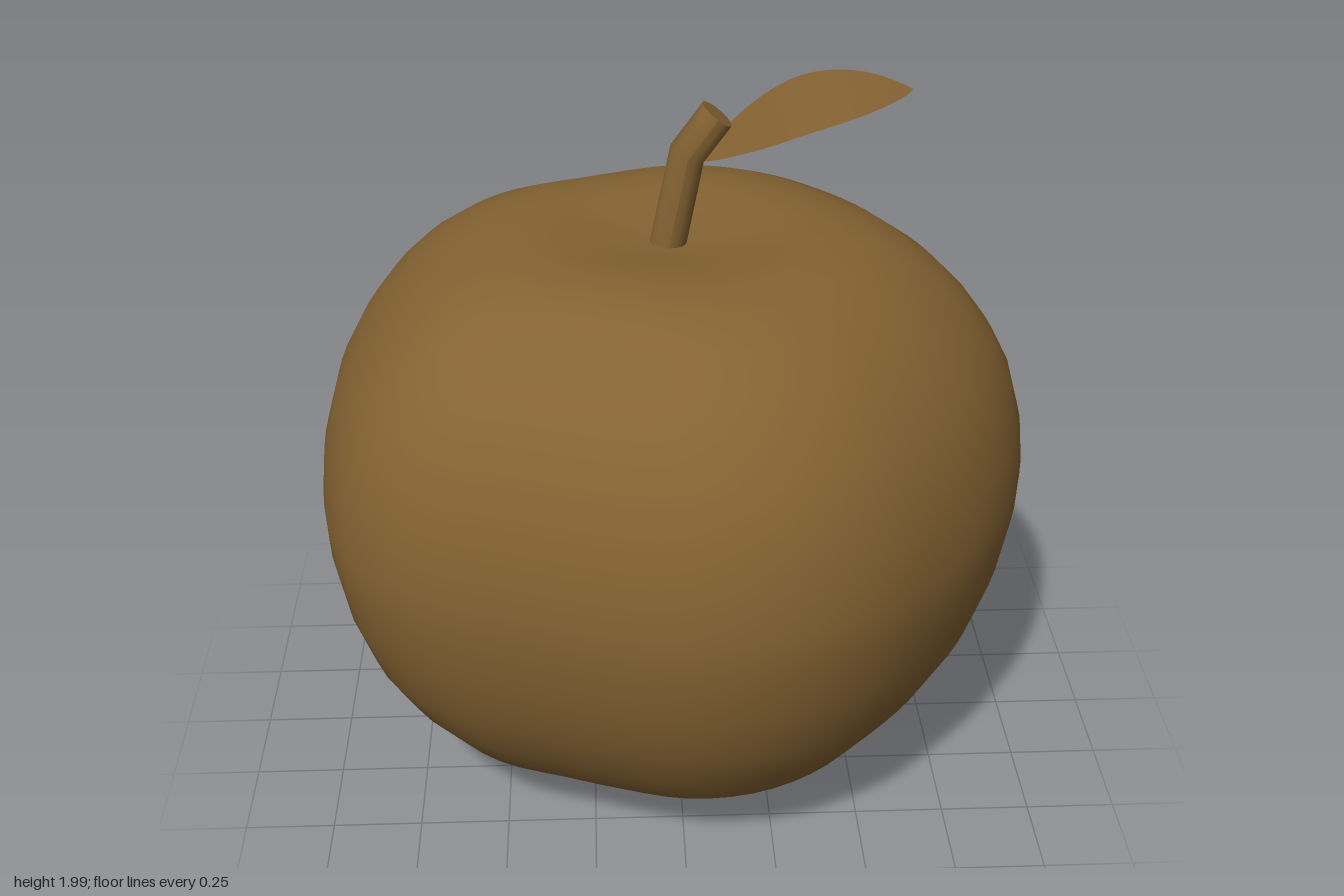
import * as THREE from 'three';
import { mergeVertices } from 'three/addons/utils/BufferGeometryUtils.js';

const brown = new THREE.MeshStandardMaterial({ color: 0x846232 });
brown.name = 'brown';
const brownLeaf = new THREE.MeshStandardMaterial({ color: 0x846232, side: THREE.DoubleSide });
brownLeaf.name = 'brown leaf';

// Smoothly shaded copy with welded seams
function smooth(geometry) {
  geometry.deleteAttribute('uv');
  geometry.deleteAttribute('normal');
  const welded = mergeVertices(geometry, 1e-4);
  welded.computeVertexNormals();
  return welded;
}

// Fruit: a lathe whose radius swells into five soft lobes
function makeFruit() {
  const profile = [
    [0, 0.015], [0.1, 0.006], [0.2, 0.004], [0.32, 0.025], [0.47, 0.07], [0.61, 0.14],
    [0.73, 0.235], [0.83, 0.36], [0.91, 0.5], [0.965, 0.66], [0.995, 0.82], [1, 0.93],
    [0.985, 1.07], [0.945, 1.21], [0.89, 1.315], [0.82, 1.41], [0.74, 1.49], [0.64, 1.56],
    [0.53, 1.605], [0.41, 1.625], [0.3, 1.62], [0.2, 1.607], [0.1, 1.594], [0, 1.585],
  ].map(([r, y]) => new THREE.Vector2(r, y));
  const geometry = new THREE.LatheGeometry(profile, 72);

  // Radius every 15 degrees from +x round to -x, mirrored in z
  const lobes = [0.99, 0.967, 0.947, 0.942, 0.962, 0.972, 0.957, 0.923, 0.932, 1.0, 1.034, 1.01, 0.995];
  const at = (i) => lobes[i < 0 ? -i : i > 12 ? 24 - i : i];
  const lobeRadius = (angle) => {
    const s = Math.abs(angle) / (Math.PI / 12);
    const i = Math.min(Math.floor(s), 11), t = s - i;
    const [a, b, c, d] = [at(i - 1), at(i), at(i + 1), at(i + 2)];
    return b + 0.5 * t * (c - a + t * (2 * a - 5 * b + 4 * c - d + t * (3 * (b - c) + d - a)));
  };
  const p = geometry.attributes.position;
  for (let i = 0; i < p.count; i++) {
    const x = p.getX(i), z = p.getZ(i);
    const k = lobeRadius(Math.atan2(z, x));
    p.setXYZ(i, x * k, p.getY(i), z * k);
  }
  return smooth(geometry);
}

// Stem: a cylinder bent at its middle ring
function makeStem() {
  const rings = [ // x, y, tilt of the ring
    [-0.028, 1.55, -0.2], [0.03, 1.842, -0.45], [0.109, 1.951, -0.68],
  ];
  const geometry = new THREE.CylinderGeometry(0.05, 0.05, 2, 16, 2);
  const p = geometry.attributes.position;
  for (let i = 0; i < p.count; i++) {
    const [cx, cy, tilt] = rings[Math.round(p.getY(i) + 1)];
    const x = p.getX(i);
    p.setXYZ(i, cx + x * Math.cos(tilt), cy + x * Math.sin(tilt), p.getZ(i));
  }
  geometry.computeVertexNormals();
  return geometry;
}

// Leaf: a thin arched sheet, pointed at both ends and tilted sideways
function makeLeaf() {
  const spine = new THREE.CatmullRomCurve3([
    [0.06, 1.82, 0], [0.2, 1.893, -0.04], [0.35, 1.957, -0.055], [0.5, 1.985, -0.06], [0.64, 1.975, -0.1],
  ].map((v) => new THREE.Vector3(...v)));
  const geometry = new THREE.PlaneGeometry(1, 2, 24, 6);
  const p = geometry.attributes.position;
  for (let i = 0; i < p.count; i++) {
    const t = p.getX(i) + 0.5, side = -p.getY(i);
    const c = spine.getPoint(t);
    const width = 0.172 * Math.pow(Math.max(Math.sin(Math.PI * t), 0), 0.8);
    const z = side * width;
    p.setXYZ(i, c.x, c.y - 0.1 * z, c.z + z);
  }
  return smooth(geometry);
}

export function createModel() {
  const model = new THREE.Group();
  model.name = 'fruit with stem and leaf';
  const add = (name, geometry, material) => {
    const mesh = new THREE.Mesh(geometry, material);
    mesh.name = name;
    model.add(mesh);
  };
  add('fruit', makeFruit(), brown);
  add('stem', makeStem(), brown);
  add('leaf', makeLeaf(), brownLeaf);
  return model;
}
